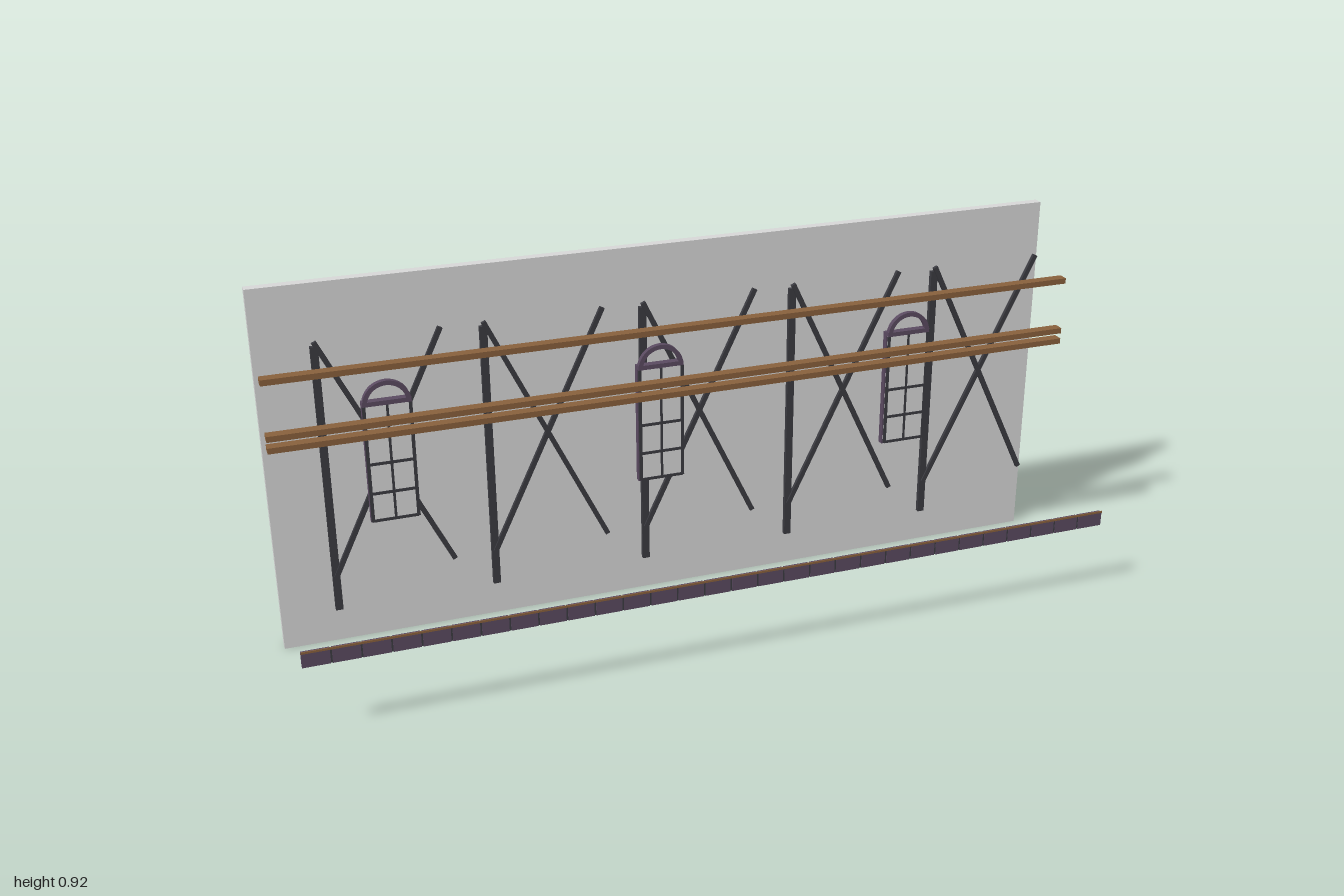
import * as THREE from 'three';

const mat = (name, color) => {
  const m = new THREE.MeshStandardMaterial({ color });
  m.name = name;
  return m;
};

export function createModel() {
  const grey = mat('pale grey', 0xd6d6d6);
  const iron = mat('dark iron', 0x3a3a40);
  const plum = mat('plum metal', 0x5a4a60);
  const wood = mat('brown wood', 0x88603c);

  const model = new THREE.Group();
  model.name = 'wallSection';

  // Box given by its limits on each axis
  const box = (parent, name, material, x0, x1, y0, y1, z0, z1) => {
    const mesh = new THREE.Mesh(new THREE.BoxGeometry(x1 - x0, y1 - y0, z1 - z0), material);
    mesh.position.set((x0 + x1) / 2, (y0 + y1) / 2, (z0 + z1) / 2);
    mesh.name = name;
    parent.add(mesh);
  };

  // Back wall
  box(model, 'wall', grey, -1, 1, 0, 0.915, -0.219, -0.195);

  // Long wooden rails
  for (const y of [0.75, 0.616, 0.588]) {
    box(model, 'rail', wood, -1, 1, y - 0.007, y + 0.007, -0.071, -0.045);
  }

  // Trusses: one post and a crossed pair of braces each
  const bottom = 0.183, top = 0.782, span = 0.288;
  const length = Math.hypot(span, top - bottom);
  const lean = Math.atan2(span, top - bottom);
  for (let i = 0; i < 5; i++) {
    const truss = new THREE.Group();
    truss.name = 'truss';
    truss.position.x = -0.863 + i * 0.3895;
    model.add(truss);
    box(truss, 'post', iron, -0.009, 0.009, 0.093, 0.77, -0.184, -0.173);
    for (const side of [-1, 1]) {
      const brace = new THREE.Mesh(new THREE.BoxGeometry(0.012, length, 0.009), iron);
      brace.name = 'brace';
      brace.position.set(span / 2, (top + bottom) / 2, side > 0 ? -0.1725 : -0.1735);
      brace.rotation.z = side * lean;
      truss.add(brace);
    }
  }

  // Arched windows
  const half = 0.057, sill = 0.326, spring = 0.632;
  const arch = new THREE.Shape();
  arch.absarc(0, 0, half, 0, Math.PI, false);
  arch.absarc(0, 0, half - 0.011, Math.PI, 0, true);
  const archGeo = new THREE.ExtrudeGeometry(arch, { depth: 0.013, bevelEnabled: false, curveSegments: 10 });

  const casing = new THREE.Shape();
  casing.moveTo(-half, sill).lineTo(half, sill).lineTo(half, spring).lineTo(-half, spring).closePath();
  const hole = new THREE.Path();
  const inner = half - 0.01;
  hole.moveTo(-inner, sill + 0.01).lineTo(-inner, spring - 0.01).lineTo(inner, spring - 0.01).lineTo(inner, sill + 0.01).closePath();
  casing.holes.push(hole);
  const casingGeo = new THREE.ExtrudeGeometry(casing, { depth: 0.016, bevelEnabled: false });

  for (const x of [-0.716, -0.053, 0.61]) {
    const win = new THREE.Group();
    win.name = 'window';
    win.position.x = x;
    model.add(win);

    const frame = new THREE.Mesh(casingGeo, plum);
    frame.name = 'casing';
    frame.position.z = -0.161;
    win.add(frame);

    const head = new THREE.Mesh(archGeo, plum);
    head.name = 'arch';
    head.position.set(0, 0.627, -0.145);
    win.add(head);

    box(win, 'pane', grey, -0.054, 0.054, 0.333, 0.625, -0.144, -0.134);
    box(win, 'transom', plum, -half, half, 0.625, 0.636, -0.146, -0.132);
    // Edge strips and glazing bars
    for (const bx of [-0.054, 0, 0.054]) {
      const w = bx === 0 ? 0.003 : 0.004;
      box(win, 'uprightBar', iron, bx - w, bx + w, 0.333, 0.625, -0.135, -0.1325);
    }
    for (const by of [0.335, 0.405, 0.48, 0.555]) {
      box(win, 'crossBar', iron, -0.054, 0.054, by - 0.0035, by + 0.0035, -0.135, -0.132);
    }
  }

  // Front kerb made of equal tiles with dark joints, and a thin wooden lip
  const count = 30, step = 2 / count;
  const kerb = new THREE.Group();
  kerb.name = 'kerb';
  model.add(kerb);
  for (let i = 0; i < count; i++) {
    const x = -1 + i * step;
    box(kerb, 'kerbTile', plum, x, x + step - (i < count - 1 ? 0.004 : 0), 0.183, 0.219, 0.205, 0.216);
  }
  box(kerb, 'kerbCore', iron, -0.999, 0.999, 0.184, 0.218, 0.206, 0.215);
  box(kerb, 'kerbLip', wood, -1, 1, 0.218, 0.223, 0.2155, 0.218);

  return model;
}
